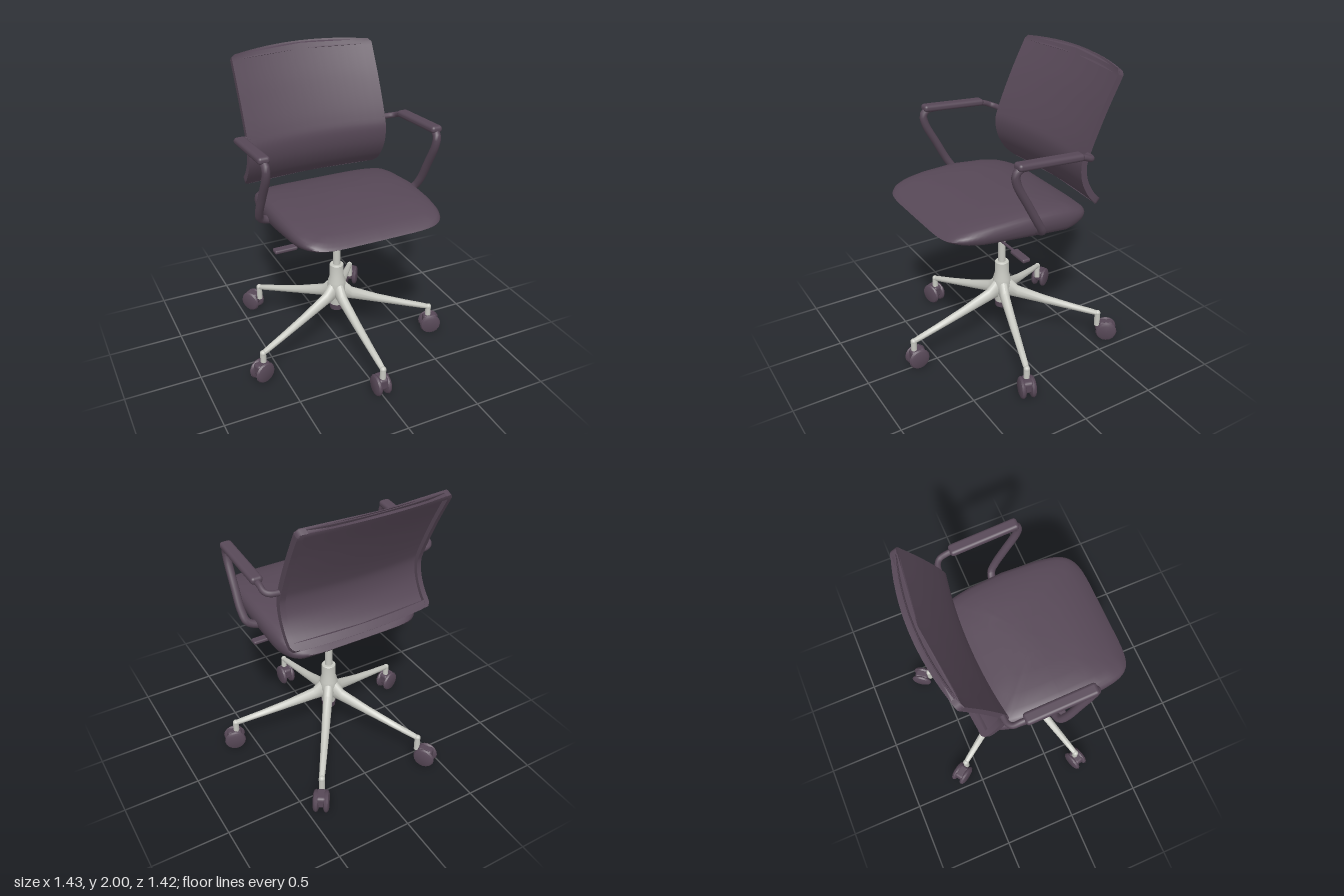
import * as THREE from 'three';
import { toCreasedNormals } from 'three/addons/utils/BufferGeometryUtils.js';
import { RoundedBoxGeometry } from 'three/addons/geometries/RoundedBoxGeometry.js';

const V = (x, y, z) => new THREE.Vector3(x, y, z);
const material = (name, color) => Object.assign(new THREE.MeshStandardMaterial({ color }), { name });

// Linear lookup in a table of [key, value] pairs
function lookup(table, k) {
  for (let i = 1; i < table.length; i++) {
    const [k0, a] = table[i - 1], [k1, b] = table[i];
    if (k <= k1) return a + (b - a) * Math.max(0, (k - k0) / (k1 - k0));
  }
  return table[table.length - 1][1];
}

// Closed skin over equal rings, each counter-clockwise about the direction of travel
function loft(rings, crease = 0.7) {
  const n = rings[0].length, last = rings.length - 1, pos = [], idx = [];
  rings.forEach(r => r.forEach(p => pos.push(p.x, p.y, p.z)));
  for (let i = 0; i < last; i++) for (let j = 0; j < n; j++) {
    const a = i * n + j, b = i * n + (j + 1) % n;
    idx.push(a, b, b + n, a, b + n, a + n);
  }
  for (const end of [0, last]) {
    const c = rings[end].reduce((s, p) => s.add(p), V(0, 0, 0)).divideScalar(n);
    const ci = pos.length / 3;
    pos.push(c.x, c.y, c.z);
    for (let j = 0; j < n; j++) {
      const a = end * n + j, b = end * n + (j + 1) % n;
      idx.push(ci, end ? a : b, end ? b : a);
    }
  }
  const g = new THREE.BufferGeometry();
  g.setAttribute('position', new THREE.Float32BufferAttribute(pos, 3));
  g.setIndex(idx);
  return toCreasedNormals(g, crease);
}

const tube = (pts, r) => new THREE.TubeGeometry(
  new THREE.CatmullRomCurve3(pts, false, 'centripetal'), 40, r, 10);
const lathe = (pts, sides) => toCreasedNormals(
  new THREE.LatheGeometry(pts.map(p => new THREE.Vector2(...p)), sides), 0.6);

// Seat cushion: a rounded-square outline between a top and a bottom side profile
function seatGeometry() {
  const top = [[-0.41, 1.07], [-0.37, 1.11], [-0.23, 1.16], [-0.07, 1.187], [0.09, 1.197],
    [0.33, 1.188], [0.45, 1.172], [0.54, 1.15], [0.605, 1.11]];
  const bottom = [[-0.41, 1.05], [-0.36, 1.01], [-0.2, 0.99], [0, 1.02], [0.41, 1.06],
    [0.54, 1.083], [0.605, 1.095]];
  const width = [[-0.41, 0.47], [-0.1, 0.495], [0.15, 0.5], [0.6, 0.47]];
  const power = t => Math.sign(t) * Math.abs(t) ** 0.32;
  // each ring: [outline scale, height between bottom and top]
  const levels = [[0.01, 0], [0.4, 0], [0.7, 0], [0.9, 0.03], [0.96, 0.12], [0.99, 0.28], [1, 0.5],
    [0.99, 0.68], [0.965, 0.8], [0.92, 0.89], [0.82, 0.95], [0.65, 0.99], [0.45, 1], [0.22, 1], [0.01, 1]];
  return loft(levels.map(([s, f]) => Array.from({ length: 64 }, (_, j) => {
    const a = j / 64 * Math.PI * 2, z = 0.097 + 0.508 * s * power(Math.cos(a));
    return V(power(Math.sin(a)) * s * lookup(width, z),
      THREE.MathUtils.lerp(lookup(bottom, z), lookup(top, z), f), z);
  })), 0.9);
}

// Backrest: a patch of the curved back, u across (-1..1), v up (0..1), given a thickness
const backCurve = new THREE.CatmullRomCurve3([
  V(0, 1.13, -0.41), V(0, 1.2, -0.34), V(0, 1.31, -0.28), V(0, 1.42, -0.265),
  V(0, 1.5, -0.287), V(0, 1.74, -0.39), V(0, 1.975, -0.51)]);
function backPoint(u, v, depth) {
  const p = backCurve.getPointAt(v), t = backCurve.getTangentAt(v);
  const bulge = 1 - u * u, corner = Math.max(0, (v - 0.97) / 0.03, (0.04 - v) / 0.04);
  return V(u * (0.49 - 0.022 * corner ** 2),
    p.y + 0.022 * bulge * v + t.z * depth,
    p.z - (0.03 + 0.04 * v) * bulge - t.y * depth);
}
function backPatch(u0, u1, v0, v1, d0, d1) {
  const n = 16, rows = Math.max(4, Math.round(40 * (v1 - v0)));
  return loft(Array.from({ length: rows + 1 }, (_, i) => {
    const v = v0 + (v1 - v0) * i / rows, front = [], back = [];
    for (let j = 0; j <= n; j++) {
      const u = u0 + (u1 - u0) * j / n;
      front.push(backPoint(u, v, d0));
      back.unshift(backPoint(u, v, d1));
    }
    return [...front, ...back];
  }));
}

export function createModel() {
  const fabric = material('darkPlum', 0x574857);
  const metal = material('paleMetal', 0xc8c9c2);
  const model = new THREE.Group();
  model.name = 'officeChair';
  const add = (name, geo, mat, x = 0, y = 0, z = 0, parent = model) => {
    const m = new THREE.Mesh(geo, mat);
    m.name = name;
    m.position.set(x, y, z);
    parent.add(m);
    return m;
  };

  // Seat and backrest with its rear frame
  add('seat', seatGeometry(), fabric);
  add('backPanel', backPatch(-1, 1, 0, 1, 0, 0.015), fabric);
  add('backFrameTop', backPatch(-1, 1, 0.965, 1, 0.005, 0.04), fabric);
  add('backFrameBottom', backPatch(-1, 1, 0, 0.05, 0.005, 0.04), fabric);
  for (const s of [-1, 1])
    add('backFrameSide', backPatch(s > 0 ? 0.93 : -1, s > 0 ? 1 : -0.93, 0, 1, 0.005, 0.042), fabric);

  // Armrests
  for (const s of [-1, 1]) {
    const path = pts => pts.map(([x, y, z]) => V(s * x, y, z));
    add('armPost', tube(path([[0.12, 1.0, 0.02], [0.3, 1.035, 0.02], [0.48, 1.075, 0.03], [0.545, 1.105, 0.045],
      [0.563, 1.17, 0.085], [0.565, 1.3, 0.155], [0.565, 1.46, 0.238], [0.567, 1.52, 0.245],
      [0.57, 1.55, 0.215], [0.57, 1.555, 0.15]]), 0.026), fabric);
    const pad = add('armPad', new RoundedBoxGeometry(0.076, 0.046, 0.45, 3, 0.02), fabric, s * 0.57, 1.55, 0.022);
    pad.rotation.x = -0.07;
    add('armLink', tube(path([[0.57, 1.53, -0.15], [0.57, 1.52, -0.22], [0.565, 1.5, -0.27],
      [0.54, 1.492, -0.293], [0.47, 1.488, -0.305]]), 0.019), fabric);
  }

  // Tilt mechanism under the seat: [height, half width, rear z, front z]
  const housing = [[0.86, 0.07, -0.07, 0.05], [0.89, 0.125, -0.1, 0.14], [0.94, 0.15, -0.125, 0.24],
    [0.98, 0.19, -0.12, 0.35], [1.06, 0.2, -0.1, 0.42]];
  add('tiltHousing', loft(housing.map(([y, w, b, f]) =>
    [V(-w, y, f), V(w, y, f), V(w, y, b), V(-w, y, b)]), 0.3), fabric);
  add('frontCatch', new THREE.BoxGeometry(0.3, 0.03, 0.07), fabric, 0, 1.075, 0.5);
  for (const s of [-1, 1]) {
    const rod = add('leverRod', new THREE.CylinderGeometry(0.009, 0.009, 0.3, 10), fabric, s * 0.22, 0.89, 0.11);
    rod.rotation.z = Math.PI / 2;
    add('leverPaddle', new RoundedBoxGeometry(0.15, 0.025, 0.055, 2, 0.01), fabric, s * 0.415, 0.89, 0.11);
  }

  // Gas column and hub
  const base = new THREE.Group();
  base.name = 'base';
  base.position.z = -0.016;
  model.add(base);
  const part = (name, geo, mat, x, y, z) => add(name, geo, mat, x, y, z, base);
  part('columnCollar', new THREE.CylinderGeometry(0.045, 0.035, 0.03, 20), fabric, 0, 0.86, 0);
  part('column', new THREE.CylinderGeometry(0.025, 0.025, 0.3, 20), metal, 0, 0.72, 0);
  part('hub', lathe([[0, 0.29], [0.046, 0.29], [0.052, 0.36], [0.063, 0.42], [0.06, 0.48],
    [0.048, 0.52], [0.047, 0.605], [0.043, 0.61], [0, 0.61]], 24), metal);
  part('hubPlug', new THREE.CylinderGeometry(0.05, 0.046, 0.04, 20), fabric, 0, 0.28, 0);

  // Five legs with casters: [angle, reach, caster offset]
  const wheel = lathe([[0, -0.019], [0.05, -0.019], [0.066, -0.012], [0.073, 0],
    [0.066, 0.012], [0.05, 0.019], [0, 0.019]], 16).rotateZ(Math.PI / 2);
  const stations = [[0.0, 0.42, 0.04, 0.08], [0.06, 0.4, 0.036, 0.068], [0.11, 0.367, 0.032, 0.045],
    [0.3, 0.307, 0.028, 0.03], [0.5, 0.25, 0.023, 0.023], [0.63, 0.215, 0.02, 0.02], [0.68, 0.202, 0.017, 0.016]];
  for (const [deg, reach, offset] of [[0, 0.685, -0.025], [72, 0.66, 0.01], [-72, 0.66, 0.01],
    [146, 0.67, 0.06], [-146, 0.67, 0.06]]) {
    const leg = new THREE.Group();
    leg.name = 'leg';
    leg.rotation.y = THREE.MathUtils.degToRad(deg);
    base.add(leg);
    add('legArm', loft(stations.map(([z, y, w, h]) => Array.from({ length: 12 }, (_, j) => {
      const a = j / 12 * Math.PI * 2;
      return V(w * Math.cos(a), y + h * Math.sin(a), z * reach / 0.68);
    }))), metal, 0, 0, 0, leg);
    add('legKnuckle', new THREE.SphereGeometry(0.021, 12, 8), metal, 0, 0.203, reach - 0.004, leg);
    add('legStem', new THREE.CylinderGeometry(0.02, 0.02, 0.1, 12), metal, 0, 0.155, reach - 0.004, leg);
    const caster = new THREE.Group();
    caster.name = 'caster';
    caster.position.set(0, 0.073, reach + offset);
    leg.add(caster);
    for (const s of [-1, 1]) add('casterWheel', wheel, fabric, s * 0.033, 0, 0, caster);
    add('casterHood', new RoundedBoxGeometry(0.07, 0.085, 0.1, 2, 0.02), fabric, 0, 0.022, 0, caster);
  }
  return model;
}
